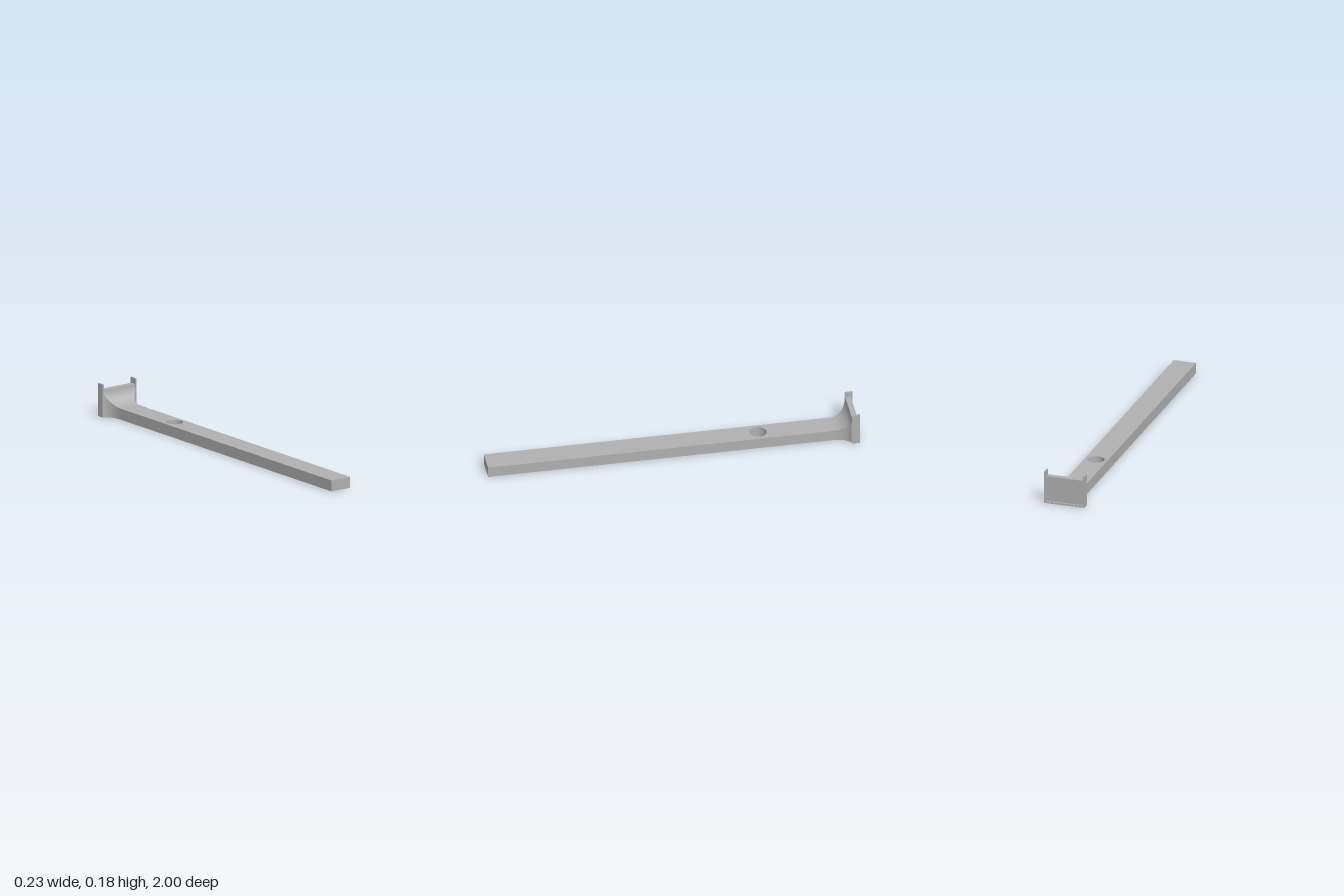
import * as THREE from 'three';
import { toCreasedNormals } from 'three/addons/utils/BufferGeometryUtils.js';

const HALF = 0.0625, THICK = 0.06, INNER = 0.104, OUTER = 0.113;
const FLARE_START = -0.87, RADIUS = 0.09;

// Concave flare: rectangular sections that widen and rise along a quarter circle
function flareGeometry(steps = 24) {
  const positions = [], index = [];
  for (let i = 0; i <= steps; i++) {
    const a = (i / steps) * Math.PI / 2;
    const z = FLARE_START - RADIUS * Math.sin(a);
    const y = THICK + RADIUS * (1 - Math.cos(a));
    const w = Math.min(INNER, HALF + (y - THICK) * 0.68);
    positions.push(-w, 0, z, w, 0, z, w, y, z, -w, y, z);
    if (i === 0) continue;
    for (let k = 0; k < 4; k++) {
      const n = (k + 1) % 4, p = (i - 1) * 4, q = i * 4;
      index.push(p + k, q + k, p + n, p + n, q + k, q + n);
    }
  }
  const g = new THREE.BufferGeometry();
  g.setAttribute('position', new THREE.Float32BufferAttribute(positions, 3));
  g.setIndex(index);
  return toCreasedNormals(g, 0.5);
}

// Long flat bar with a round through hole
function barGeometry() {
  const s = new THREE.Shape();
  s.moveTo(-HALF, -1);
  s.lineTo(HALF, -1);
  s.lineTo(HALF, -FLARE_START);
  s.lineTo(-HALF, -FLARE_START);
  s.closePath();
  const hole = new THREE.Path();
  hole.absarc(0, 0.47, 0.045, 0, Math.PI * 2, true);
  s.holes.push(hole);
  const g = new THREE.ExtrudeGeometry(s, { depth: THICK, bevelEnabled: false, curveSegments: 40 });
  g.rotateX(-Math.PI / 2);
  return toCreasedNormals(g, 0.5);
}

export function createModel() {
  const group = new THREE.Group();
  const grey = new THREE.MeshStandardMaterial({ color: 0xb0b0b0 });
  grey.name = 'grey';

  const add = (name, geometry) => {
    const mesh = new THREE.Mesh(geometry, grey);
    mesh.name = name;
    group.add(mesh);
  };
  const block = (x0, x1, y0, y1, z0, z1) =>
    new THREE.BoxGeometry(x1 - x0, y1 - y0, z1 - z0)
      .translate((x0 + x1) / 2, (y0 + y1) / 2, (z0 + z1) / 2);

  add('bar', barGeometry());
  add('flare', flareGeometry());

  // End plate, recessed between two taller flanges and a bottom lip
  add('endPlate', block(-INNER, INNER, 0, 0.15, -0.99, -0.96));
  add('bottomLip', block(-INNER, INNER, 0, 0.01, -1, -0.99));
  add('leftFlange', block(INNER, OUTER, 0, 0.18, -1, -0.957));
  add('rightFlange', block(-OUTER, -INNER, 0, 0.18, -1, -0.957));

  return group;
}
